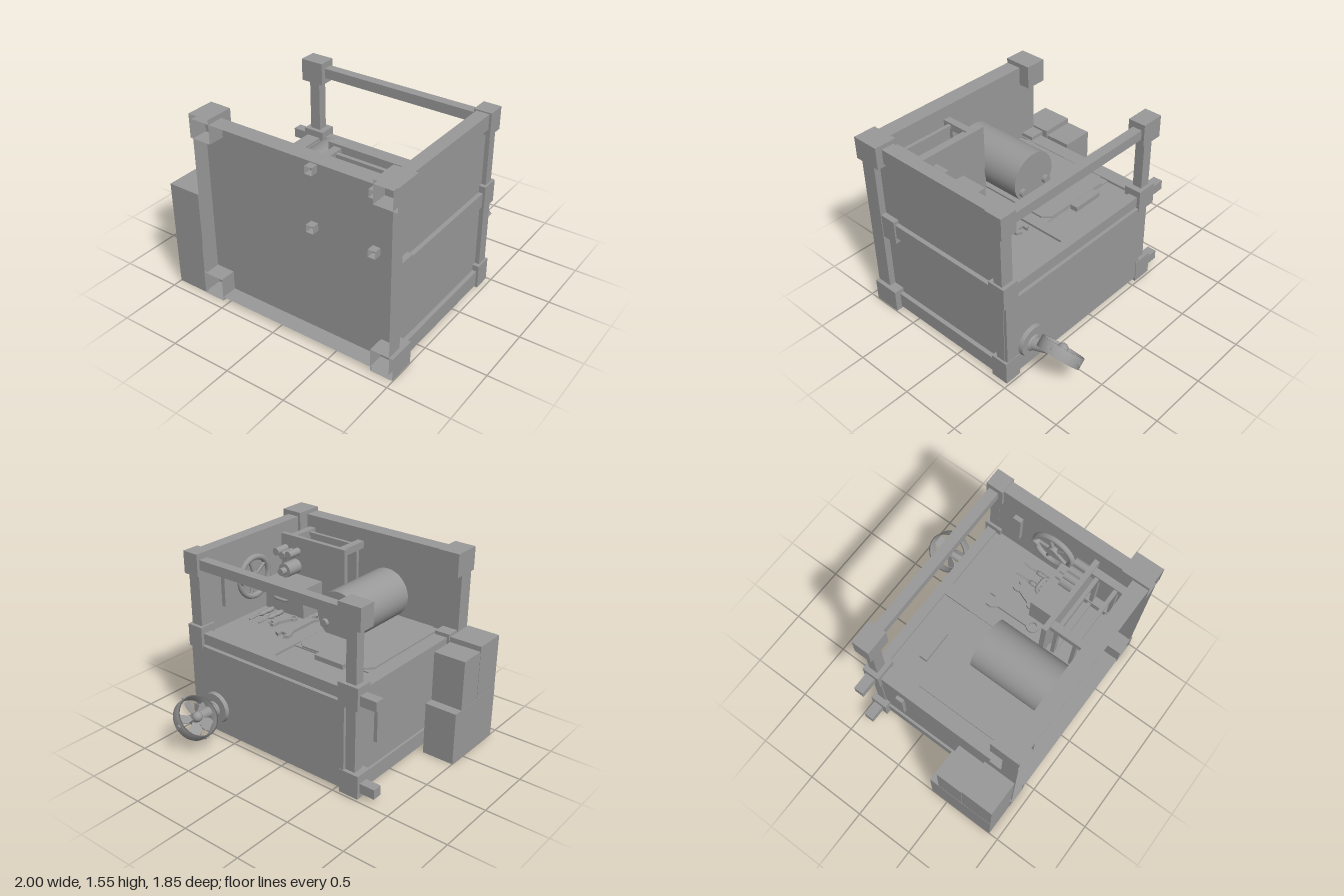
import * as THREE from 'three';

const V = (x, y, z) => new THREE.Vector3(x, y, z);

export function createModel() {
  const root = new THREE.Group();
  const mat = new THREE.MeshStandardMaterial({ color: 0x999999, side: THREE.DoubleSide });

  const add = (name, geo, parent = root) => {
    const m = new THREE.Mesh(geo, mat);
    m.name = name;
    parent.add(m);
    return m;
  };
  // box from its minimum and maximum on each axis
  const box = (name, x0, x1, y0, y1, z0, z1) => {
    const m = add(name, new THREE.BoxGeometry(x1 - x0, y1 - y0, z1 - z0));
    m.position.set((x0 + x1) / 2, (y0 + y1) / 2, (z0 + z1) / 2);
    return m;
  };
  // box without its front (+z) face
  const openBox = (...args) => {
    const geo = box(...args).geometry;
    const index = Array.from(geo.index.array);
    index.splice(24, 6);
    geo.setIndex(index);
    geo.clearGroups();
  };
  // cylinder or cone between two points
  const rod = (name, a, b, ra, rb = ra, parent = root, sides = 24) => {
    const m = add(name, new THREE.CylinderGeometry(rb, ra, a.distanceTo(b), sides), parent);
    m.position.copy(a).lerp(b, 0.5);
    m.quaternion.setFromUnitVectors(V(0, 1, 0), b.clone().sub(a).normalize());
    return m;
  };
  // flat outline in x and z, thickened upward from y
  const plate = (name, pts, y, h, parent = root) => {
    const s = new THREE.Shape(pts.map(([x, z]) => new THREE.Vector2(x, -z)));
    const m = add(name, new THREE.ExtrudeGeometry(s, { depth: h, bevelEnabled: false }), parent);
    m.rotation.x = -Math.PI / 2;
    m.position.y = y;
    return m;
  };

  // big panels; the front one is a shallow tray open to the front
  openBox('frontTray', -0.71, 0.963, 0.033, 1.512, 0.79, 0.922);
  box('rightWall', 0.842, 0.91, 0.06, 1.45, -0.42, 0.79);
  box('leftLowerWall', -0.66, -0.6, 0.06, 0.8, -0.42, 0.79);
  box('backLowerPanel', -0.585, 0.94, 0.04, 0.76, -0.48, -0.4);
  box('bottomPanel', -0.64, 0.9, 0.065, 0.1, -0.42, 0.79);
  box('middlePanel', -0.62, 0.88, 0.78, 0.84, -0.42, 0.79);

  // corner blocks
  [[-0.73, -0.55, 1.36, 1.55], [0.815, 1, 1.365, 1.545], [-0.73, -0.55, 0, 0.195], [0.81, 0.995, 0, 0.19]]
    .forEach(([x0, x1, y0, y1]) => openBox('frontCornerBlock', x0, x1, y0, y1, 0.695, 0.925));
  [[-0.72, -0.55, 0.005, 0.2], [-0.708, -0.53, 0.73, 0.915], [-0.72, -0.525, 1.34, 1.52]].forEach(([x0, x1, y0, y1]) => {
    box('backLeftBlock', x0, x1, y0, y1, -0.485, -0.34);
    box('backRightBlock', 0.82, 0.962, y0, y1, -0.485, -0.34);
  });
  box('middleBlock', -0.7, -0.57, 0.69, 0.89, 0.68, 0.79);
  box('middleBlock', 0.855, 0.957, 0.69, 0.89, 0.65, 0.79);

  // posts, beams and beam stubs
  box('leftBackPost', -0.67, -0.58, 0.1, 1.45, -0.455, -0.375);
  box('rightBackPost', 0.84, 0.945, 0.1, 1.45, -0.455, -0.375);
  box('rightTopBeam', 0.84, 0.945, 1.39, 1.51, -0.4, 0.79);
  for (const [y0, y1] of [[0.02, 0.15], [0.74, 0.86]]) {
    box('rightBeam', 0.85, 0.945, y0, y1, -0.4, 0.79);
    box('leftBeam', -0.68, -0.56, y0, y1, -0.4, 0.79);
  }
  box('backTopBeam', -0.6, 0.88, 1.39, 1.47, -0.46, -0.38);
  box('backMiddleBeam', -0.6, 0.88, 0.77, 0.86, -0.46, -0.38);
  for (const y of [0.05, 0.77]) box('beamStub', -0.85, -0.7, y, y + 0.08, -0.46, -0.38);
  box('wallPlank', 0.155, 0.255, 0.79, 0.86, -0.38, 0.79);

  // stacked crates
  box('lowerCrate', -1, -0.73, 0, 0.44, 0.35, 0.92);
  box('smallCrate', -0.998, -0.73, 0.44, 0.85, 0.43, 0.65);
  box('tallCrate', -0.998, -0.722, 0.44, 0.89, 0.655, 0.92);

  // door with cut corners, sign and wall handles
  box('doorFrame', -0.56, 0.16, 0.83, 0.85, -0.145, 0.79);
  plate('door', [[-0.49, -0.14], [0.09, -0.14], [0.145, -0.08], [0.145, 0.72], [0.09, 0.775],
    [-0.49, 0.775], [-0.55, 0.72], [-0.55, -0.08]], 0.84, 0.025);
  box('doorSign', -0.365, -0.1, 0.84, 0.88, -0.22, -0.155);
  box('outerHandle', -0.69, -0.65, 0.35, 0.63, -0.22, -0.155);
  box('innerHandle', 0.805, 0.86, 1.01, 1.29, -0.225, -0.155);

  // barrel with two caps
  rod('barrel', V(-0.025, 1.03, 0.155), V(-0.025, 1.03, 0.79), 0.205, 0.205, root, 40);
  for (const x of [-0.15, 0.1]) rod('barrelCap', V(x, 0.95, 0.125), V(x, 0.95, 0.16), 0.033);

  // handwheel with a crank knob on the right wall
  const wheel = new THREE.Group();
  wheel.name = 'handwheel';
  wheel.position.set(0.832, 1.15, 0.14);
  wheel.rotation.y = Math.PI / 2;
  root.add(wheel);
  add('wheelRim', new THREE.TorusGeometry(0.165, 0.025, 10, 36), wheel);
  rod('wheelHub', V(0, 0, -0.03), V(0, 0, 0.02), 0.045, 0.045, wheel);
  rod('wheelKnob', V(0.15, 0, -0.045), V(0.15, 0, 0), 0.03, 0.03, wheel);
  for (let i = 0; i < 5; i++) {
    const a = i * Math.PI * 0.4;
    rod('wheelSpoke', V(0, 0, 0), V(0.165 * Math.cos(a), 0.165 * Math.sin(a), 0), 0.014, 0.014, wheel, 8);
  }

  // table
  box('tableTop', 0.17, 0.83, 0.87, 1.43, 0.475, 0.515);
  for (const x of [0.22, 0.73]) {
    for (const y of [0.89, 1.35]) openBox('tableLeg', x, x + 0.06, y, y + 0.06, 0.51, 0.85);
    for (const z of [0.55, 0.71]) box('tableSideRail', x + 0.01, x + 0.05, 0.92, 1.38, z, z + 0.03);
  }
  for (const y of [0.905, 1.365]) {
    for (const z of [0.55, 0.71]) box('tableRail', 0.25, 0.76, y, y + 0.03, z, z + 0.03);
  }

  // toolbox, jug and cans on the table
  box('toolbox', 0.4, 0.8, 0.86, 1.11, 0.24, 0.475);
  const grip = new THREE.CatmullRomCurve3([V(0.53, 1, 0.25), V(0.55, 1, 0.195), V(0.605, 1, 0.185), V(0.66, 1, 0.195), V(0.68, 1, 0.25)]);
  add('toolboxHandle', new THREE.TubeGeometry(grip, 20, 0.014, 8));
  rod('jug', V(0.675, 1.18, 0.475), V(0.675, 1.18, 0.33), 0.06);
  rod('jugNeck', V(0.675, 1.18, 0.34), V(0.675, 1.18, 0.28), 0.03);
  [[0.655, 1.31], [0.72, 1.29], [0.785, 1.31]].forEach(([x, y]) =>
    rod('can', V(x, y, 0.475), V(x, y, 0.35), 0.032));

  // wrenches: open jaw at the top, ring at the bottom
  const wrench = (x, z, len, w, turn) => {
    const g = new THREE.Group();
    g.name = 'wrench';
    g.position.set(x, 0.835, z);
    g.rotation.y = turn;
    root.add(g);
    const h = len / 2;
    plate('wrenchBody', [[-w * 0.4, -h], [-w * 0.4, -h + w * 0.7], [w * 0.4, -h + w * 0.7], [w * 0.4, -h],
      [w, -h + w * 0.3], [w, -h + w], [w * 0.5, -h + w * 1.7], [w * 0.45, h - w * 1.3],
      [-w * 0.45, h - w * 1.3], [-w * 0.5, -h + w * 1.7], [-w, -h + w], [-w, -h + w * 0.3]], 0, 0.03, g);
    const s = new THREE.Shape().absarc(0, 0, w * 0.8, 0, Math.PI * 2);
    s.holes.push(new THREE.Path().absarc(0, 0, w * 0.42, 0, Math.PI * 2, true));
    const ring = add('wrenchRing', new THREE.ExtrudeGeometry(s, { depth: 0.03, bevelEnabled: false }), g);
    ring.rotation.x = -Math.PI / 2;
    ring.position.z = h - w * 0.8;
  };
  wrench(0.345, 0.135, 0.47, 0.066, 0);
  wrench(0.515, 0.125, 0.25, 0.045, -0.4);

  // screwdrivers
  const handle = [[0, 0], [0.02, 0], [0.022, 0.05], [0.015, 0.09], [0.021, 0.13], [0.012, 0.16], [0, 0.16]];
  for (const x of [0.63, 0.73]) {
    rod('screwdriverShaft', V(x, 0.86, -0.04), V(x, 0.86, 0.1), 0.007, 0.007, root, 8);
    const g = add('screwdriverHandle', new THREE.LatheGeometry(handle.map(p => new THREE.Vector2(...p)), 12));
    g.position.set(x, 0.86, 0.24);
    g.rotation.x = -Math.PI / 2;
  }

  // fan: base, stem and tilted ring with blades
  rod('fanBase', V(0.695, 0.26, -0.48), V(0.695, 0.26, -0.512), 0.132, 0.125, root, 32);
  rod('fanFoot', V(0.702, 0.255, -0.51), V(0.702, 0.257, -0.53), 0.07, 0.055);
  rod('fanStem', V(0.702, 0.25, -0.51), V(0.67, 0.285, -0.735), 0.055, 0.035);
  const fan = new THREE.Group();
  fan.name = 'fanHead';
  fan.position.set(0.667, 0.288, -0.743);
  fan.quaternion.setFromUnitVectors(V(0, 1, 0), V(-0.75, 0.66, 0).normalize());
  root.add(fan);
  const band = [[0.16, -0.043], [0.174, -0.043], [0.174, 0.043], [0.16, 0.043], [0.16, -0.043]];
  add('fanRing', new THREE.LatheGeometry(band.map(p => new THREE.Vector2(...p)), 40), fan);
  rod('fanHub', V(0, -0.05, 0), V(0, 0.03, 0), 0.042, 0.042, fan);
  const cap = add('fanHubCap', new THREE.SphereGeometry(0.042, 20, 8, 0, Math.PI * 2, 0, Math.PI / 2), fan);
  cap.position.y = 0.03;
  for (let i = 0; i < 5; i++) {
    const arm = new THREE.Group();
    arm.name = 'fanBladeArm';
    arm.rotation.y = i * Math.PI * 0.4;
    fan.add(arm);
    const blade = plate('fanBlade', [[0.02, -0.015], [0.1, -0.055], [0.138, -0.045], [0.142, 0.03], [0.12, 0.05], [0.02, 0.015]], 0, 0.006, arm);
    blade.rotation.x += 0.5;
  }
  for (let i = 0; i < 4; i++) {
    const a = i * Math.PI / 2, c = Math.cos(a), s = Math.sin(a);
    rod('fanRingKnob', V(c * 0.165, 0, s * 0.165), V(c * 0.184, 0, s * 0.184), 0.018, 0.018, fan, 8);
  }

  return root;
}
